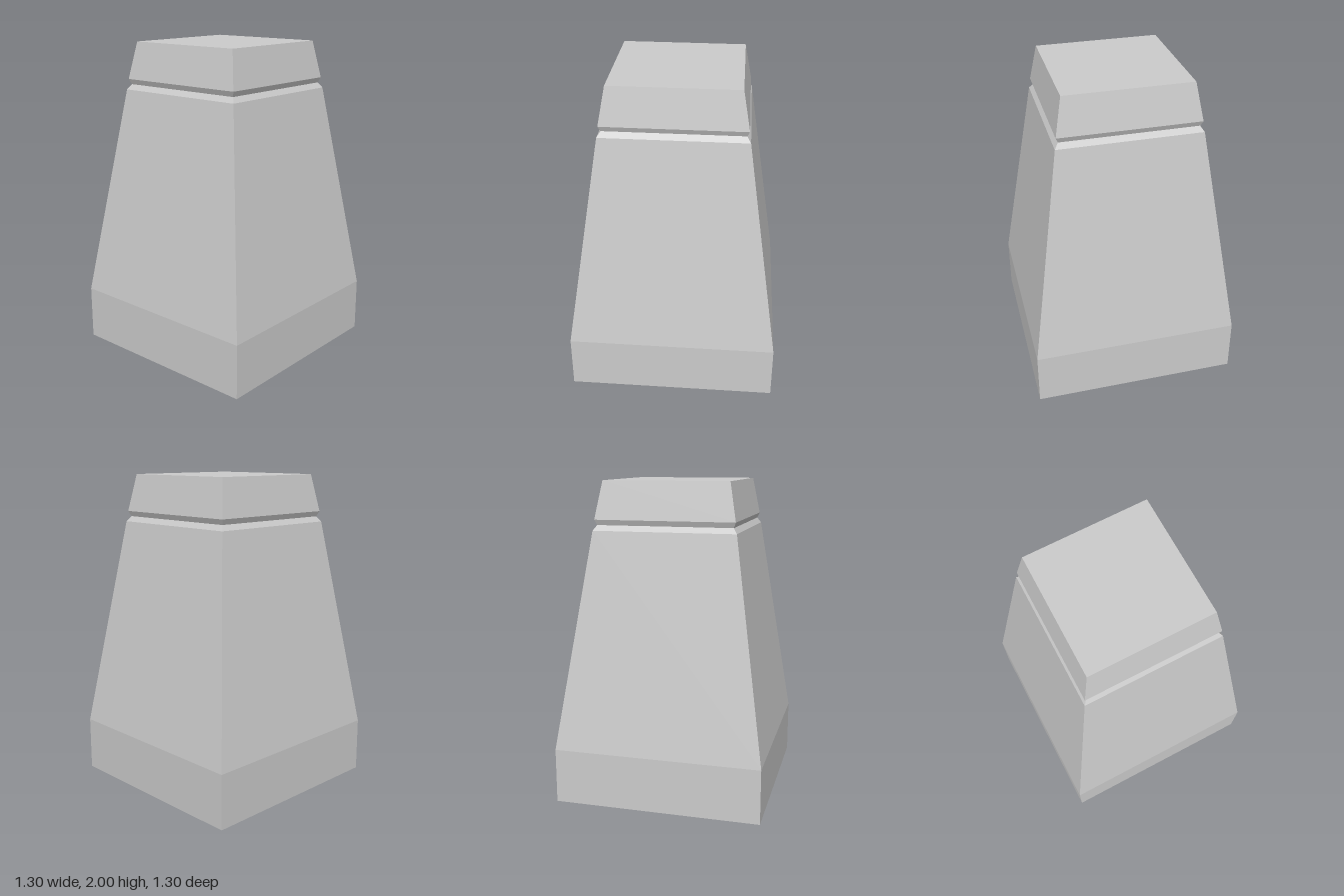
import * as THREE from 'three';

const material = new THREE.MeshStandardMaterial({ color: 0xcccccc, flatShading: true });

// Square solid of revolution: profile of [half width, height], listed bottom to top
function squareLathe(name, profile) {
  const points = profile.map(([half, y]) => new THREE.Vector2(half * Math.SQRT2, y));
  const geometry = new THREE.LatheGeometry(points, 4, Math.PI / 4).toNonIndexed();
  geometry.computeVertexNormals();
  const mesh = new THREE.Mesh(geometry, material);
  mesh.name = name;
  return mesh;
}

export function createModel() {
  const group = new THREE.Group();
  group.name = 'taperedPost';
  group.add(
    // Upright plinth with a closed underside
    squareLathe('plinth', [[0, 0], [0.65, 0], [0.65, 0.345]]),
    // Tapering shaft
    squareLathe('shaft', [[0.65, 0.345], [0.445, 1.7]]),
    // V-shaped groove below the cap
    squareLathe('groove', [[0.445, 1.7], [0.422, 1.733], [0.436, 1.766]]),
    // Tapering cap with a flat top
    squareLathe('cap', [[0.436, 1.766], [0.393, 2], [0, 2]]),
  );
  return group;
}
